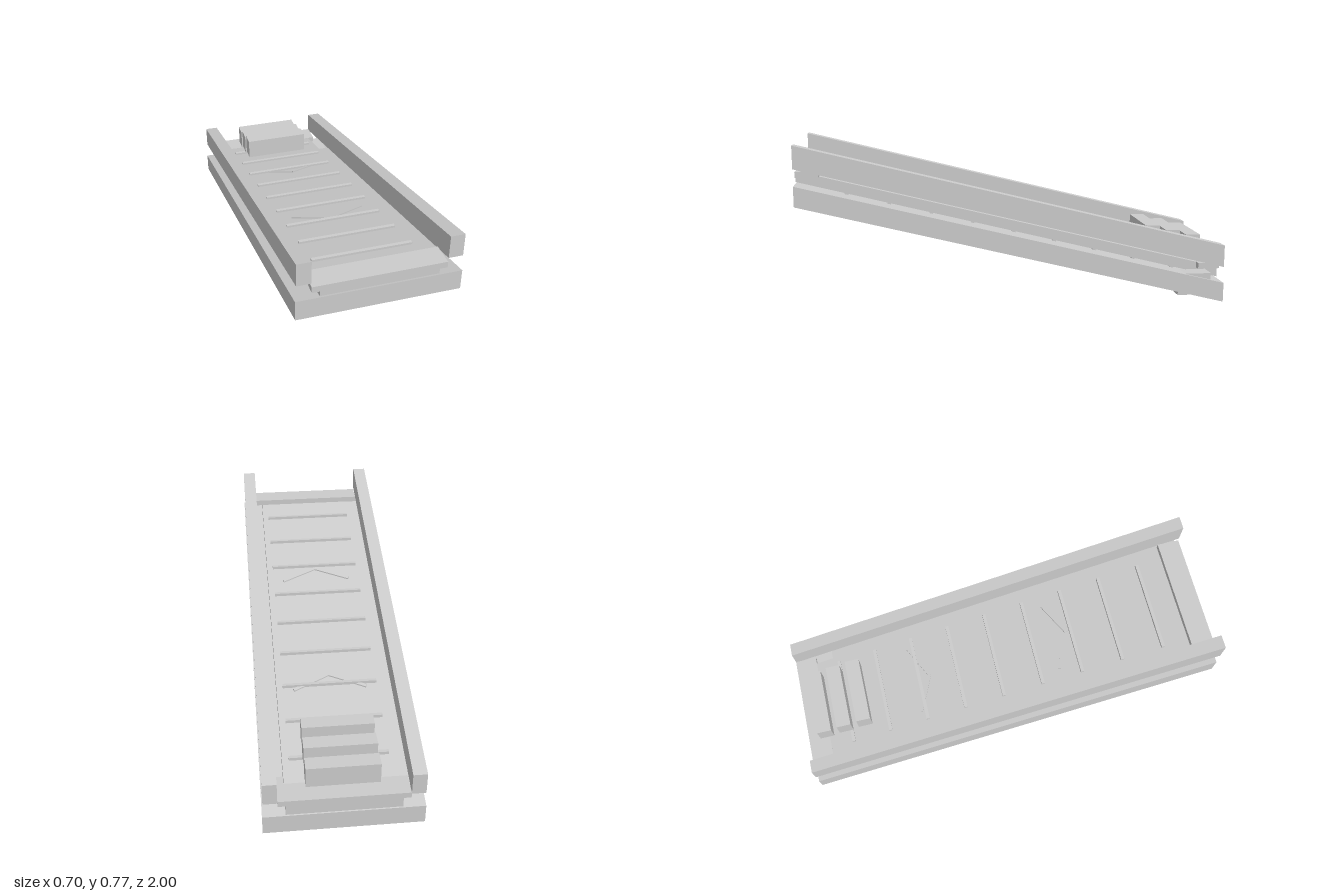
import * as THREE from 'three';

const SLOPE = 0.25;
const material = new THREE.MeshStandardMaterial({ color: 0xcccccc });

export function createModel() {
  const model = new THREE.Group();

  // Box given by its limits
  const box = (name, [x0, x1], [y0, y1], [z0, z1], sloped = false) => {
    const geo = new THREE.BoxGeometry(x1 - x0, y1 - y0, z1 - z0);
    geo.translate((x0 + x1) / 2, (y0 + y1) / 2, (z0 + z1) / 2);
    return add(name, geo, sloped);
  };

  // Sloped parts are sheared along z, keeping their ends vertical
  const add = (name, geo, sloped) => {
    if (sloped) {
      const p = geo.attributes.position;
      for (let i = 0; i < p.count; i++) p.setY(i, p.getY(i) + SLOPE * p.getZ(i));
      geo.computeVertexNormals();
    }
    const mesh = new THREE.Mesh(geo, material);
    mesh.name = name;
    model.add(mesh);
    return mesh;
  };

  // Ramp base, belt and side rails
  box('base', [-0.35, 0.35], [0.25, 0.343], [-1, 1], true);
  box('belt', [-0.25, 0.25], [0.35, 0.4], [-1, 1], true);
  box('leftRail', [0.283, 0.345], [0.42, 0.525], [-1, 1], true);
  box('rightRail', [-0.345, -0.283], [0.42, 0.525], [-1, 1], true);

  // Level landing plates at both ends
  box('frontPlate', [-0.283, 0.283], [0.623, 0.651], [0.895, 1]);
  box('backPlate', [-0.283, 0.283], [0.149, 0.177], [-1, -0.895]);

  // Cleats on the belt and supports beneath it
  for (let i = -4; i <= 4; i++) {
    const z = i * 0.194;
    const y = 0.4 + SLOPE * z;
    box('cleat', [-0.22, 0.22], [y - 0.01, y + 0.012], [z - 0.008, z + 0.008]);
    box('beltSupport', [-0.24, 0.24], [y - 0.06, y - 0.045], [z - 0.008, z + 0.008]);
  }

  // Thin direction chevrons lying on the belt
  for (const tip of [0.37, -0.33]) {
    for (const side of [-1, 1]) {
      const geo = new THREE.BoxGeometry(0.188, 0.012, 0.015);
      geo.rotateY(side * 0.44);
      geo.translate(side * 0.085, 0.4, tip - 0.043);
      add('chevronArm', geo, true);
    }
  }

  // Stepped blocks at the low end
  for (let i = 0; i < 3; i++) {
    const z = -0.701 - i * 0.102;
    const y = 0.243 - i * 0.025;
    box('block', [-0.16, 0.16], [y, y + 0.1], [z - 0.035, z + 0.035]);
  }

  // Drive housing sunk through the base
  box('driveHousing', [0.24, 0.336], [0.036, 0.14], [-0.94, -0.78]);

  return model;
}
